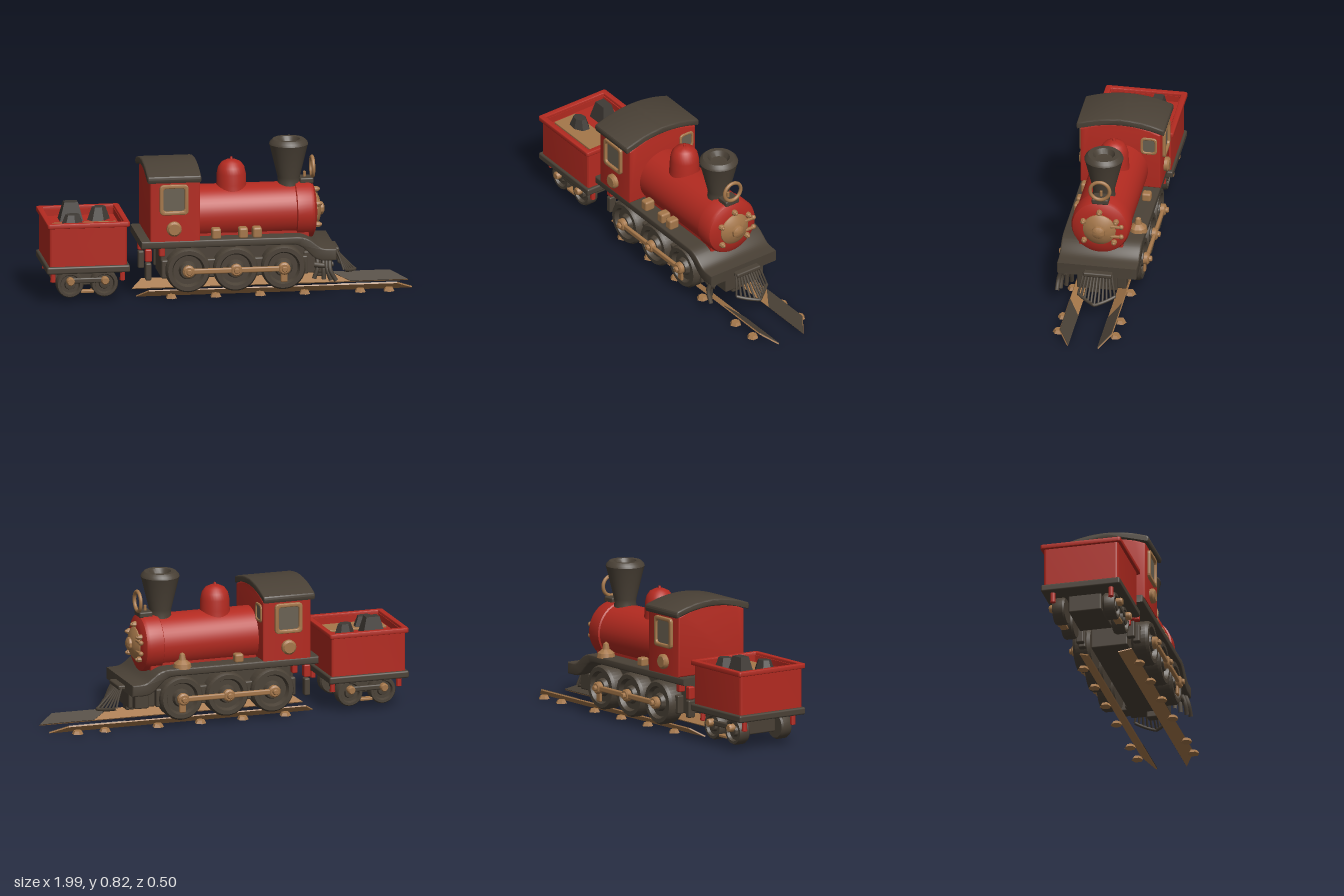
import * as THREE from 'three';
import { toCreasedNormals } from 'three/addons/utils/BufferGeometryUtils.js';
import { RoundedBoxGeometry } from 'three/addons/geometries/RoundedBoxGeometry.js';

const material = (name, color) => {
  const m = new THREE.MeshStandardMaterial({ color });
  m.name = name;
  return m;
};
const V2 = (a) => a.map(([x, y]) => new THREE.Vector2(x, y));
const V3 = (a) => a.map((p) => new THREE.Vector3(...p));

export function createModel() {
  const red = material('red paint', 0xb32a20);
  const dark = material('dark iron', 0x4a4136);
  const tan = material('brass', 0xa5774a);
  const glass = material('window grey', 0x6a6152);
  const coalMat = material('coal', 0x3f3a35);
  const model = new THREE.Group();

  // Helpers
  const add = (name, geo, mat, x = 0, y = 0, z = 0) => {
    const m = new THREE.Mesh(geo, mat);
    m.name = name;
    m.position.set(x, y, z);
    model.add(m);
    return m;
  };
  const box = (name, mat, x0, x1, y0, y1, z0, z1, r = 0.008) =>
    add(name, new RoundedBoxGeometry(x1 - x0, y1 - y0, z1 - z0, 2, r), mat, (x0 + x1) / 2, (y0 + y1) / 2, (z0 + z1) / 2);
  const lathe = (pts, axis = 'y', seg = 32) => {
    const g = toCreasedNormals(new THREE.LatheGeometry(V2(pts), seg), 0.6);
    if (axis === 'x') g.rotateZ(-Math.PI / 2);
    if (axis === 'z') g.rotateX(Math.PI / 2);
    if (axis === '-z') g.rotateX(-Math.PI / 2);
    return g;
  };
  const disc = (r, d, axis, seg = 20) =>
    lathe([[0, -d / 2], [r, -d / 2], [r, d / 4], [r * 0.75, d / 2], [0, d / 2]], axis, seg);
  const extrude = (shape, depth, bevel = 0) => toCreasedNormals(new THREE.ExtrudeGeometry(shape, {
    depth, curveSegments: 16, bevelEnabled: bevel > 0, bevelSize: bevel, bevelThickness: bevel, bevelOffset: -bevel, bevelSegments: 3,
  }), 0.6);
  const tube = (pts, r, seg = 10) => new THREE.TubeGeometry(new THREE.CatmullRomCurve3(V3(pts)), seg, r, 8);
  const roundRect = (w, h, r, P = THREE.Shape) => {
    const p = new P(), a = w / 2, b = h / 2;
    p.moveTo(-a + r, -b).lineTo(a - r, -b).quadraticCurveTo(a, -b, a, -b + r).lineTo(a, b - r);
    p.quadraticCurveTo(a, b, a - r, b).lineTo(-a + r, b).quadraticCurveTo(-a, b, -a, b - r);
    p.lineTo(-a, -b + r).quadraticCurveTo(-a, -b, -a + r, -b);
    return p;
  };
  const frame = (w, h, t, depth) => {
    const s = roundRect(w, h, 0.025);
    s.holes.push(roundRect(w - 2 * t, h - 2 * t, 0.018, THREE.Path));
    return extrude(s, depth, 0.004);
  };

  // Boiler with its rounded front plate
  add('boiler', lathe([[0, -0.19], [0.15, -0.19], [0.15, 0.36], [0.158, 0.365], [0.158, 0.44], [0.15, 0.457], [0.125, 0.47], [0.09, 0.477], [0, 0.477]], 'x', 48), red, 0, 0.43, 0);
  add('smokeboxDoor', lathe([[0.092, 0.47], [0.088, 0.482], [0.065, 0.498], [0.036, 0.506], [0.034, 0.518], [0.02, 0.526], [0, 0.528]], 'x'), tan, 0, 0.43, 0);
  for (const [y, z] of [[0.535, 0], [0.475, 0.087], [0.485, -0.09], [0.36, 0.082], [0.36, -0.08]]) {
    add('doorBolt', disc(0.016, 0.03, 'x', 8), tan, 0.48, y, z);
    add('boltCap', new THREE.SphereGeometry(0.009, 10, 8), tan, 0.496, y, z);
  }
  for (const y of [0.46, 0.4]) {
    box('doorHinge', tan, 0.48, 0.496, y - 0.007, y + 0.007, -0.12, -0.06, 0.004);
    add('hingeKnob', new THREE.SphereGeometry(0.014, 12, 8), tan, 0.485, y, -0.12);
  }
  box('boilerSaddle', red, -0.17, 0.43, 0.27, 0.36, -0.12, 0.12);

  // Steam dome, chimney and lamp ring
  add('steamDome', lathe([[0.085, 0.55], [0.08, 0.585], [0.078, 0.64], [0.07, 0.675], [0.052, 0.7], [0.025, 0.713], [0.008, 0.717], [0.006, 0.728], [0, 0.73]]), red, 0.025, 0, 0);
  add('chimney', lathe([[0.065, 0.55], [0.058, 0.59], [0.06, 0.61], [0.1, 0.775], [0.105, 0.79], [0.1, 0.803], [0.085, 0.817], [0.06, 0.817], [0.045, 0.79], [0, 0.785]]), dark, 0.335, 0, 0);
  box('lampBracket', dark, 0.39, 0.465, 0.575, 0.607, -0.045, 0.045);
  add('lampRing', new THREE.TorusGeometry(0.053, 0.01, 10, 32).rotateY(Math.PI / 2), tan, 0.462, 0.66, 0);
  add('lampPin', new THREE.CylinderGeometry(0.008, 0.008, 0.04, 10), tan, 0.42, 0.615, 0);

  // Cab: arched walls and curved roof
  const wall = new THREE.Shape();
  wall.moveTo(-0.217, 0.325).lineTo(0.217, 0.325).lineTo(0.217, 0.652).quadraticCurveTo(0, 0.75, -0.217, 0.652).lineTo(-0.217, 0.325);
  add('cab', extrude(wall, 0.255, 0.008).rotateY(Math.PI / 2), red, -0.435, 0, 0);
  const arch = new THREE.Shape();
  arch.moveTo(0.235, 0.65).quadraticCurveTo(0.245, 0.672, 0.235, 0.686).quadraticCurveTo(0, 0.774, -0.235, 0.686);
  arch.quadraticCurveTo(-0.245, 0.672, -0.235, 0.65).quadraticCurveTo(0, 0.735, 0.235, 0.65);
  add('cabRoof', extrude(arch, 0.275, 0.008).rotateY(Math.PI / 2), dark, -0.452, 0, 0);
  for (const s of [1, -1]) {
    add('sideWindowFrame', frame(0.155, 0.165, 0.02, 0.014), tan, -0.315, 0.555, s * 0.222 - 0.007);
    const pane = add('sideWindowPane', new THREE.ShapeGeometry(roundRect(0.12, 0.13, 0.015)), glass, -0.315, 0.555, s * 0.2195);
    if (s < 0) pane.rotation.y = Math.PI;
    add('cabRoundel', disc(0.04, 0.04, s > 0 ? 'z' : '-z'), tan, -0.315, 0.395, s * 0.224);
  }
  add('frontWindowFrame', frame(0.09, 0.1, 0.013, 0.01).rotateY(Math.PI / 2), tan, -0.178, 0.583, -0.155);
  add('frontWindowPane', new THREE.ShapeGeometry(roundRect(0.07, 0.08, 0.012)).rotateY(Math.PI / 2), glass, -0.17, 0.583, -0.155);

  // Running board sweeping down to the front beam
  const board = new THREE.Shape();
  board.moveTo(-0.49, 0.285).lineTo(0.33, 0.285).bezierCurveTo(0.41, 0.28, 0.42, 0.19, 0.5, 0.19).lineTo(0.565, 0.19).lineTo(0.565, 0.253);
  board.lineTo(0.51, 0.255).bezierCurveTo(0.45, 0.26, 0.44, 0.326, 0.35, 0.326).lineTo(-0.49, 0.326).lineTo(-0.49, 0.285);
  add('runningBoard', extrude(board, 0.416, 0.008), dark, 0, 0, -0.208);

  // Fittings on the running board
  for (const x of [-0.08, 0.065, 0.14]) box('boardBox', tan, x - 0.025, x + 0.025, 0.32, 0.38, 0.135, 0.195, 0.012);
  box('boardBox', tan, -0.075, -0.025, 0.32, 0.37, -0.19, -0.14, 0.012);
  add('boardCone', lathe([[0.05, 0.32], [0.045, 0.345], [0.02, 0.365], [0.014, 0.395], [0, 0.405]]), tan, 0.27, 0, -0.175);

  // Chassis, wheels and coupling rods
  box('chassis', dark, -0.37, 0.41, 0.1, 0.29, -0.1, 0.1);
  const wheel = [[0, -0.05], [0.108, -0.05], [0.12, -0.035], [0.12, 0.03], [0.11, 0.045], [0.088, 0.045], [0.078, 0.022], [0.05, 0.022], [0.042, 0.045], [0, 0.05]];
  for (const s of [1, -1]) {
    const out = s > 0 ? 'z' : '-z';
    box('sideFrame', dark, -0.375, 0.415, 0.11, 0.21, s * 0.15 - 0.02, s * 0.15 + 0.02);
    for (const x of [-0.235, 0.022, 0.28]) {
      add('driveWheel', lathe(wheel, out, 36), dark, x, 0.157, s * 0.163);
      add('rodBoss', disc(0.033, 0.03, out, 16), tan, x, 0.157, s * 0.222);
      add('rodCap', disc(0.016, 0.02, out, 10), tan, x, 0.157, s * 0.242);
    }
    box('couplingRod', tan, -0.235, 0.28, 0.142, 0.172, s * 0.222 - 0.01, s * 0.222 + 0.01);
    box('crankWeight', tan, 0.262, 0.3, 0.08, 0.15, s * 0.212 - 0.008, s * 0.212 + 0.008);
    // Hanging links behind the cab
    box('cabStepTop', red, -0.462, -0.425, 0.2, 0.27, s * 0.14 - 0.02, s * 0.14 + 0.02);
    box('cabStepFoot', dark, -0.46, -0.427, 0.1, 0.195, s * 0.14 - 0.022, s * 0.14 + 0.022);
    box('cabLink', red, -0.387, -0.355, 0.23, 0.285, s * 0.15 - 0.02, s * 0.15 + 0.02);
  }

  // Pipes and block beneath the front beam
  for (const [x, z, dx] of [[0.47, 0.15, -0.02], [0.5, 0.17, 0], [0.515, 0.195, 0.02], [0.53, 0.21, 0.03]])
    add('frontPipe', tube([[x, 0.2, z - 0.02], [x, 0.14, z], [x + dx, 0.08, z + 0.005]], 0.012), dark);
  add('frontPipeBar', tube([[0.45, 0.16, 0.17], [0.5, 0.155, 0.18], [0.55, 0.16, 0.17]], 0.014), dark);
  box('frontBlock', dark, 0.45, 0.53, 0.105, 0.2, -0.155, -0.09);
  box('frontFrame', dark, 0.4, 0.55, 0.1, 0.22, -0.11, 0.11);
  box('frontHook', dark, 0.48, 0.53, 0.065, 0.12, -0.01, 0.05);

  // Pointed cowcatcher made of slats
  const rim = [];
  for (let i = -5; i <= 5; i++) {
    const t = i / 5, a = Math.abs(t);
    const foot = [0.695 - 0.075 * a, 0.087 + 0.02 * a * a, -0.01 + t * 0.1];
    rim.push(foot);
    add('cowcatcherSlat', tube([[0.58, 0.218, -0.01 + t * 0.075], [0.615 - 0.015 * a, 0.17, -0.01 + t * 0.085], foot], 0.006), dark);
  }
  add('cowcatcherRim', tube(rim, 0.009, 24), dark);
  box('cowcatcherTop', dark, 0.54, 0.6, 0.2, 0.225, -0.088, 0.068);

  // Tilted rails with dark tips and side studs
  const poly = (pts) => new THREE.Shape(V2(pts));
  const plank = poly([[-0.5, 0], [0.99, 0], [0.9, 0.073], [-0.44, 0.073]]);
  const tip = poly([[0.68, 0], [0.99, 0], [0.9, 0.073], [0.58, 0.073]]);
  for (const s of [1, -1]) {
    const rail = add('rail', extrude(plank, 0.007).translate(0, 0, s > 0 ? 0 : -0.007), tan, 0, 0.002, s * 0.08);
    rail.rotation.x = s * 0.98;
    const end = add('railTip', extrude(tip, 0.003).translate(0, 0, s > 0 ? -0.003 : 0), dark, 0, 0.002, s * 0.08);
    end.rotation.x = s * 0.98;
    for (const x of [-0.32, -0.08, 0.16, 0.4, 0.7, 0.855])
      add('railStud', toCreasedNormals(new THREE.CylinderGeometry(0.022, 0.032, 0.018, 6), 0.3), tan, x, 0.009, s * 0.155);
  }

  // Tender bin, rim, floor and coal
  const ring = (w, h, t) => {
    const s = roundRect(w, h, 0.015);
    s.holes.push(roundRect(w - 2 * t, h - 2 * t, 0.01, THREE.Path));
    return s;
  };
  add('tenderBin', extrude(ring(0.42, 0.41, 0.02), 0.23).rotateX(-Math.PI / 2), red, -0.775, 0.195, 0);
  add('tenderRim', extrude(ring(0.446, 0.442, 0.03), 0.018, 0.004).rotateX(-Math.PI / 2), red, -0.775, 0.418, 0);
  box('tenderFloor', red, -0.97, -0.58, 0.36, 0.39, -0.19, 0.19, 0.004);
  box('tenderBoard', tan, -0.95, -0.6, 0.388, 0.4, 0.01, 0.148, 0.003);
  for (const [x, z, h, r, n, turn] of [[-0.83, -0.09, 0.115, 0.085, 4, 0], [-0.68, -0.08, 0.085, 0.065, 6, 0.5], [-0.84, 0.06, 0.08, 0.065, 7, 0.2]]) {
    const lump = new THREE.CylinderGeometry(r * 0.55, r, h, n).rotateY(n === 4 ? Math.PI / 4 : 0).scale(1.12, 1, 0.8).rotateY(turn);
    add('coalLump', toCreasedNormals(lump, 0.3), coalMat, x, 0.375 + h / 2, z);
  }
  box('tenderBase', dark, -1, -0.55, 0.163, 0.203, -0.218, 0.218, 0.01);

  // Tender bogie
  box('bogieFrame', dark, -0.9, -0.65, 0.07, 0.17, -0.09, 0.09);
  const small = wheel.map(([r, h]) => [r * 0.61, h * 0.7]);
  for (const s of [1, -1]) {
    const out = s > 0 ? 'z' : '-z';
    for (const x of [-0.868, -0.682]) {
      add('tenderWheel', lathe(small, out), dark, x, 0.095, s * 0.14);
      add('axleCap', disc(0.022, 0.035, out, 12), tan, x, 0.115, s * 0.185);
    }
    box('bogieBar', dark, -0.87, -0.68, 0.1, 0.13, s * 0.165 - 0.01, s * 0.165 + 0.01);
    box('bogieSpring', tan, -0.81, -0.74, 0.045, 0.06, s * 0.15 - 0.02, s * 0.15 + 0.02, 0.004);
    for (const x of [-0.96, -0.585]) add('redLink', lathe([[0, -0.03], [0.015, -0.025], [0.013, 0.03], [0, 0.035]], 'y', 10), red, x, 0.135, s * 0.16);
  }
  return model;
}
